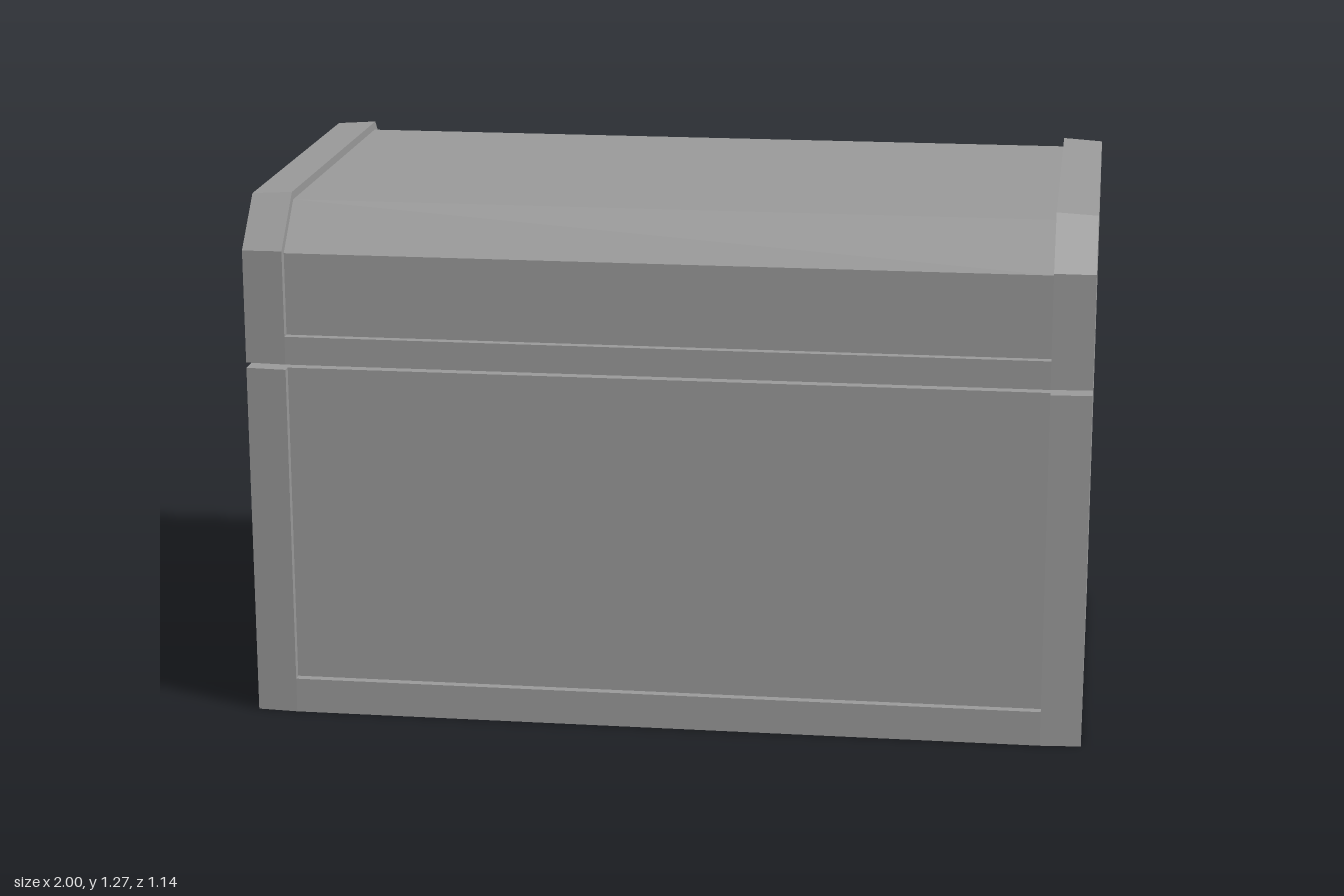
import * as THREE from 'three';

const material = new THREE.MeshStandardMaterial({ color: 0x9a9a9a, flatShading: true });
const INNER = 0.903; // x where the end bands meet the recessed panels

// Convex solid between profile a at x0 and profile b at x1 (x0 < x1).
// Profile points are [z, y], running front top, front bottom, back bottom, back top.
function loft(name, a, x0, b, x1) {
  const pos = [];
  const A = a.map(([z, y]) => [x0, y, z]);
  const B = b.map(([z, y]) => [x1, y, z]);
  const tri = (p, q, r) => pos.push(...p, ...q, ...r);
  const n = A.length;
  for (let i = 0; i < n; i++) {
    const j = (i + 1) % n;
    tri(A[i], A[j], B[j]);
    tri(A[i], B[j], B[i]);
  }
  for (let i = 1; i < n - 1; i++) {
    tri(B[0], B[i], B[i + 1]);
    tri(A[0], A[i + 1], A[i]);
  }
  const geometry = new THREE.BufferGeometry();
  geometry.setAttribute('position', new THREE.Float32BufferAttribute(pos, 3));
  geometry.computeVertexNormals();
  const mesh = new THREE.Mesh(geometry, material);
  mesh.name = name;
  return mesh;
}

// Rectangular profile, symmetric front to back
const slab = (z, y0, y1) => [[z, y1], [z, y0], [-z, y0], [-z, y1]];

// Lid profile with a chamfer along front and back
const hood = (z, y0, shoulder, zTop, yTop) => [
  [zTop, yTop], [z, shoulder], [z, y0], [-z, y0], [-z, shoulder], [-zTop, yTop],
];

// A pair of end bands, slightly narrower at the outer faces
function addEnds(group, name, inner, outer) {
  group.add(loft(name + 'Left', inner, INNER, outer, 1));
  group.add(loft(name + 'Right', outer, -1, inner, -INNER));
}

export function createModel() {
  const model = new THREE.Group();
  model.name = 'chest';

  // Lower box: end bands, bottom rail, recessed front and back panels
  const base = new THREE.Group();
  base.name = 'base';
  addEnds(base, 'baseEnd', slab(0.571, 0, 0.864), slab(0.564, 0, 0.864));
  const rail = slab(0.571, 0, 0.085);
  base.add(loft('baseRail', rail, -INNER, rail, INNER));
  const panel = slab(0.55, 0.085, 0.864);
  base.add(loft('basePanels', panel, -INNER, panel, INNER));

  // Lid: raised end bands, lower rail, recessed chamfered body
  const lid = new THREE.Group();
  lid.name = 'lid';
  addEnds(lid, 'lidEnd',
    hood(0.571, 0.877, 1.152, 0.453, 1.27),
    hood(0.564, 0.877, 1.15, 0.45, 1.264));
  const lidRail = slab(0.571, 0.877, 0.945);
  lid.add(loft('lidRail', lidRail, -INNER, lidRail, INNER));
  const body = hood(0.55, 0.945, 1.143, 0.443, 1.25);
  lid.add(loft('lidBody', body, -INNER, body, INNER));

  model.add(base, lid);
  return model;
}
